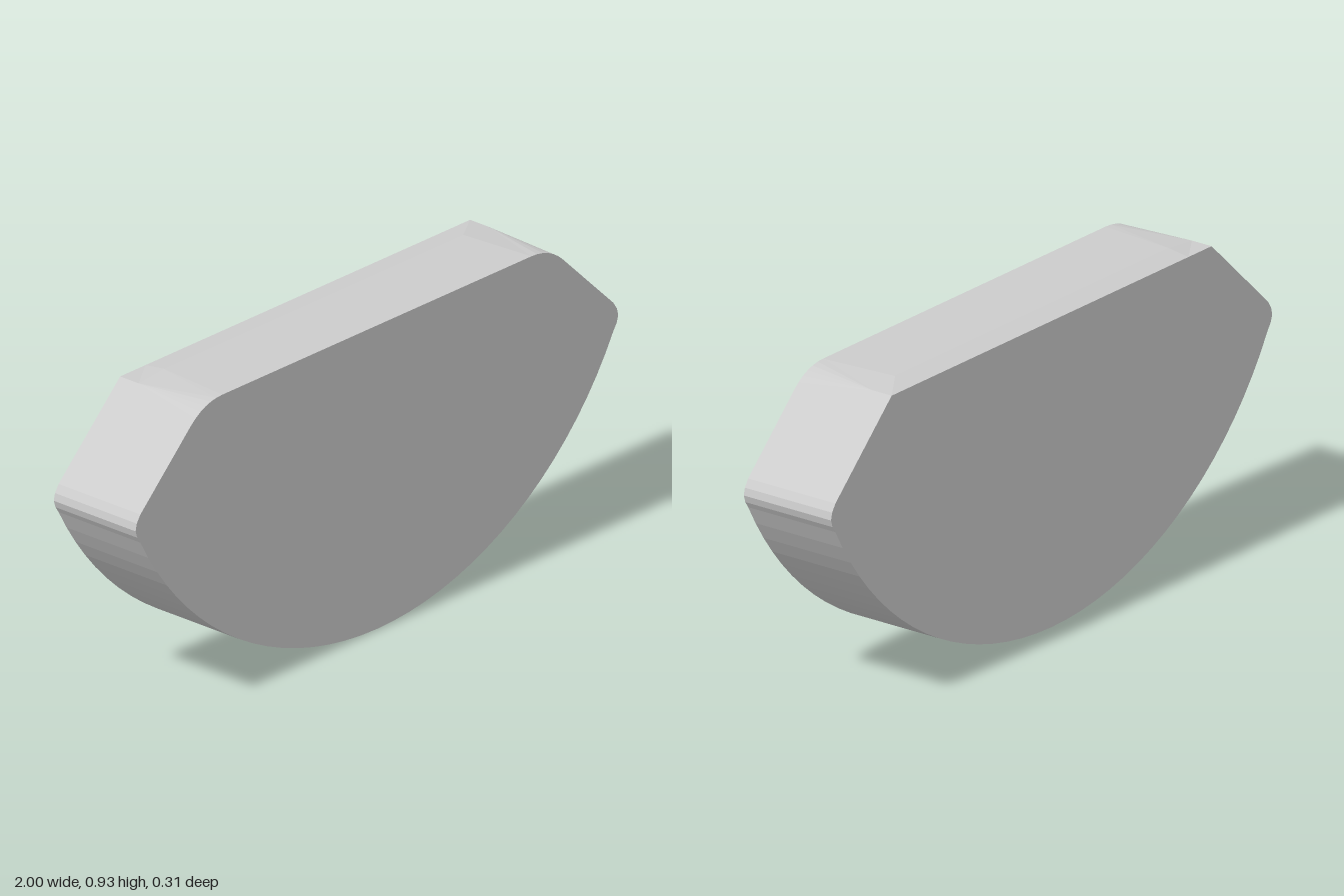
import * as THREE from 'three';

const R = 1.11, TOP = 0.93, DEPTH = 0.155, ARC = 18, CORNER = 6;

// Right half of an outline, from bottom centre round to the top edge
function halfOutline(corner) {
  const pts = [];
  const end = Math.asin(0.98 / R);
  for (let i = 0; i <= ARC; i++) {
    const a = (end * i) / ARC;
    pts.push([R * Math.sin(a), R * (1 - Math.cos(a))]);
  }
  pts.push([0.993, 0.608], [1, 0.63], [0.995, 0.652], [0.98, 0.675]);
  return pts.concat(corner);
}

// Mirror the half outline into a closed counter-clockwise loop at depth z
function section(corner, z) {
  const half = halfOutline(corner);
  const left = half.slice(1).reverse().map(([x, y]) => [-x, y]);
  return half.concat(left).map(([x, y]) => new THREE.Vector3(x, y, z));
}

export function createModel() {
  // Rounded upper corner at the front, sharp upper corner at the back
  const curve = new THREE.QuadraticBezierCurve(
    new THREE.Vector2(0.77, 0.878), new THREE.Vector2(0.715, TOP), new THREE.Vector2(0.64, TOP));
  const round = curve.getPoints(CORNER).map((p) => [p.x, p.y]);
  const sharp = (topY) => [...Array(CORNER).fill([0.725, 0.92]), [0.62, topY]];

  const sections = [
    section(sharp(0.92), -DEPTH),
    section(sharp(TOP), -0.085),
    section(round, DEPTH),
  ];

  const pos = [];
  const e1 = new THREE.Vector3(), e2 = new THREE.Vector3();
  const tri = (a, b, c) => {
    e1.subVectors(b, a).cross(e2.subVectors(c, a));
    if (e1.length() > 1e-8) for (const p of [a, b, c]) pos.push(p.x, p.y, p.z);
  };

  // Rim between neighbouring sections
  const n = sections[0].length;
  for (let s = 0; s < sections.length - 1; s++) {
    const back = sections[s], front = sections[s + 1];
    for (let i = 0; i < n; i++) {
      const j = (i + 1) % n;
      tri(back[i], back[j], front[j]);
      tri(back[i], front[j], front[i]);
    }
  }

  // Flat front and back faces
  const [first, last] = [sections[0], sections[sections.length - 1]];
  for (let i = 1; i < n - 1; i++) {
    tri(last[0], last[i], last[i + 1]);
    tri(first[0], first[i + 1], first[i]);
  }

  const geometry = new THREE.BufferGeometry();
  geometry.setAttribute('position', new THREE.Float32BufferAttribute(pos, 3));
  geometry.computeVertexNormals();

  const plate = new THREE.Mesh(geometry,
    new THREE.MeshStandardMaterial({ color: 0xcccccc, flatShading: true }));
  plate.name = 'curvedPlate';
  const group = new THREE.Group();
  group.name = 'model';
  group.add(plate);
  return group;
}
